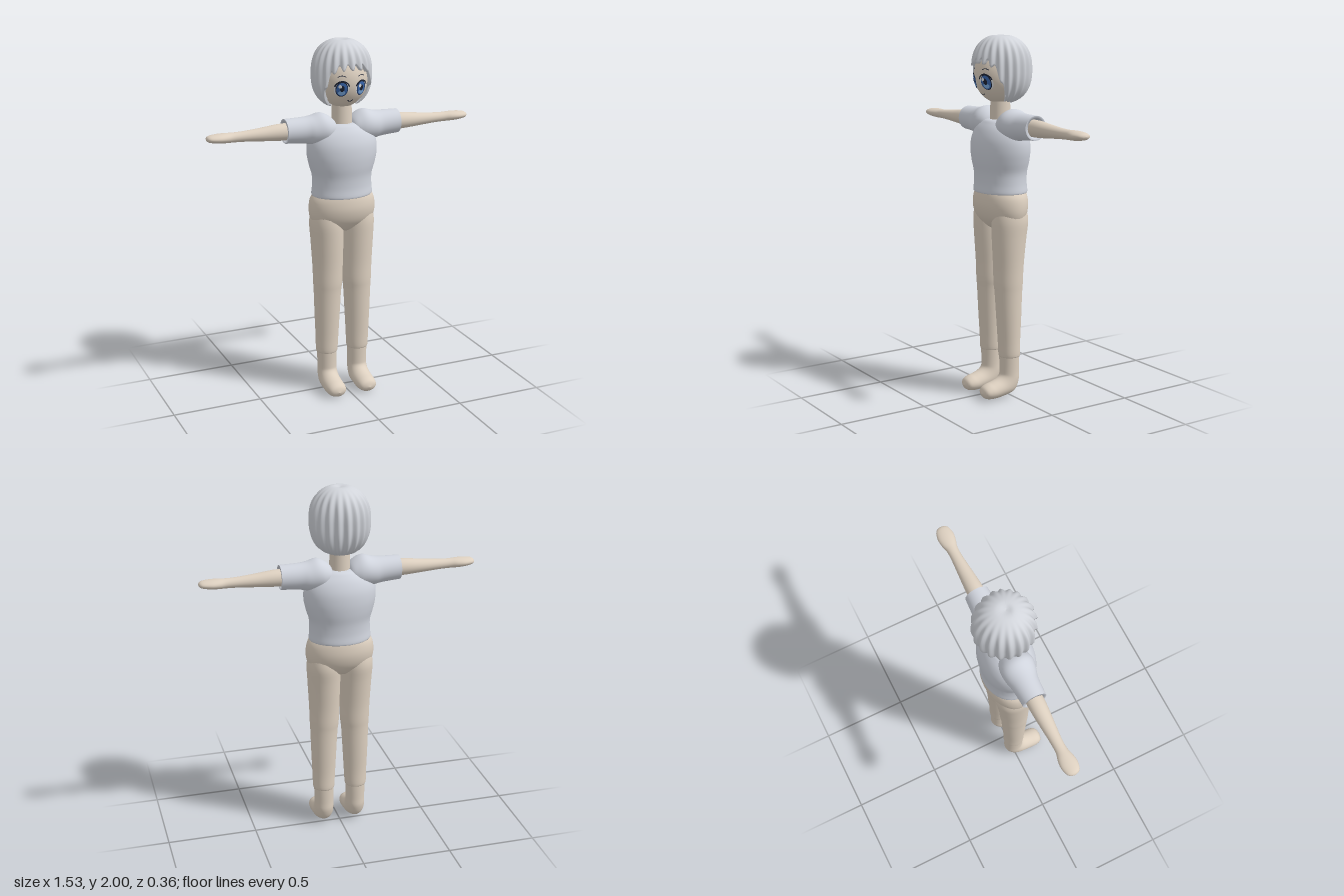
import * as THREE from 'three';

const material = (name, color, side = THREE.FrontSide) => {
  const m = new THREE.MeshStandardMaterial({ color, side });
  m.name = name;
  return m;
};

// Closed-around grid: rows of points joined into a smooth skin
function grid(rows, cols, point) {
  const pos = [], index = [];
  for (let i = 0; i <= rows; i++)
    for (let j = 0; j < cols; j++) pos.push(...point(i, j));
  for (let i = 0; i < rows; i++)
    for (let j = 0; j < cols; j++) {
      const a = i * cols + j, b = i * cols + (j + 1) % cols;
      index.push(a, b, a + cols, b, b + cols, a + cols);
    }
  const g = new THREE.BufferGeometry();
  g.setAttribute('position', new THREE.Float32BufferAttribute(pos, 3));
  g.setIndex(index);
  g.computeVertexNormals();
  return g;
}

// Loft through rings [centre xyz, u axis xyz, v axis xyz], smoothed by a spline
function loft(rings, sub = 4, cols = 36) {
  const last = rings.length - 1;
  const sample = (t) => {
    const i = Math.min(Math.floor(t), last - 1), f = t - i;
    const at = (k) => rings[THREE.MathUtils.clamp(k, 0, last)];
    return rings[0].map((_, c) => {
      const [p, q, r, s] = [at(i - 1)[c], at(i)[c], at(i + 1)[c], at(i + 2)[c]];
      return q + 0.5 * f * (r - p + f * (2 * p - 5 * q + 4 * r - s + f * (3 * (q - r) + s - p)));
    });
  };
  return grid(last * sub, cols, (i, j) => {
    const k = sample(i / sub), a = (j / cols) * Math.PI * 2;
    const c = Math.cos(a), s = Math.sin(a);
    return [0, 1, 2].map((n) => k[n] + k[n + 3] * c + k[n + 6] * s);
  });
}
// Upright rings [y, cx, cz, rx, rz] and sideways rings [x, cy, cz, ry, rz]
const upright = (list, s = 1) => list.map(([y, cx, cz, rx, rz]) => [cx * s, y, cz, rx, 0, 0, 0, 0, -rz]);
const sideways = (list, s) => list.map(([x, cy, cz, ry, rz]) => [x * s, cy, cz, 0, ry, 0, 0, 0, rz * s]);

// Head ellipsoid, also used to lay face details on its surface
const HEAD = { y: 1.79, z: 0.002, rx: 0.138, ry: 0.157, rz: 0.142 };
const faceZ = (x, y) =>
  HEAD.z + HEAD.rz * Math.sqrt(Math.max(0, 1 - (x / HEAD.rx) ** 2 - ((y - HEAD.y) / HEAD.ry) ** 2));

function facePatch(cx, cy, rx, ry, lift, inner = 0, start = 0, length = Math.PI * 2) {
  const g = new THREE.RingGeometry(inner, 1, 28, 5, start, length);
  const p = g.attributes.position;
  for (let i = 0; i < p.count; i++) {
    const x = cx + p.getX(i) * rx, y = cy + p.getY(i) * ry;
    p.setXYZ(i, x, y, faceZ(x, y) + lift);
  }
  g.computeVertexNormals();
  return g;
}

// Lower edge of the hair by angle from the front, in degrees
const HEM = [[0, 1.865], [25, 1.862], [40, 1.845], [50, 1.8], [58, 1.755], [65, 1.7], [72, 1.65], [180, 1.633]];
function hemHeight(deg) {
  const i = HEM.findIndex((h, k) => k > 0 && deg <= h[0] + 1e-6);
  const [a, b] = [HEM[i - 1], HEM[i]];
  return THREE.MathUtils.mapLinear(deg, a[0], b[0], a[1], b[1]);
}

// Rounded cap with scalloped locks, turned in at the hem
function hairGeometry() {
  const rows = 28, cols = 160, cy = 1.815, ry = 0.186, n = 2.4;
  return grid(rows + 1, cols, (i, j) => {
    let deg = -(j / cols) * 360;
    if (deg < -180) deg += 360;
    const a = THREE.MathUtils.degToRad(deg), lock = Math.cos(a * 20);
    const jag = Math.abs(deg) < 70 ? 0.016 : 0.004;
    const v = (hemHeight(Math.abs(deg)) - jag * lock - cy) / ry;
    const end = Math.acos(THREE.MathUtils.clamp(Math.sign(v) * Math.abs(v) ** (n / 2), -0.995, 1));
    const phi = end * Math.min(i / rows, 1), c = Math.cos(phi);
    let r = Math.max(Math.sin(phi), 1e-4) ** (2 / n);
    r *= 1 + 0.045 * lock * THREE.MathUtils.smoothstep(phi, 0.25, 1.2);
    if (i > rows) r *= 0.86;
    const y = cy + ry * Math.sign(c) * Math.abs(c) ** (2 / n) - 0.012 * Math.exp(-((phi / 0.12) ** 2));
    return [0.158 * r * Math.sin(a), y, (Math.cos(a) > 0 ? 0.148 : 0.17) * r * Math.cos(a)];
  });
}

export function createModel() {
  const model = new THREE.Group();
  model.name = 'figure';
  const skin = material('skin', 0xddd0c0);
  const shirt = material('shirt', 0xd0d4dd, THREE.DoubleSide);
  const hair = material('hair', 0xd1d4da, THREE.DoubleSide);
  const dark = material('dark line', 0x1c2233);
  const blue = material('iris blue', 0x3a68b0);
  const pale = material('iris pale blue', 0x7fb0e6);
  const white = material('eye white', 0xf4f6fa);
  const add = (name, geometry, mat) => {
    const m = new THREE.Mesh(geometry, mat);
    m.name = name;
    model.add(m);
    return m;
  };

  // Head, neck and hair
  const head = add('head', new THREE.SphereGeometry(1, 48, 32), skin);
  head.scale.set(HEAD.rx, HEAD.ry, HEAD.rz);
  head.position.set(0, HEAD.y, HEAD.z);
  const neck = add('neck', new THREE.CylinderGeometry(0.052, 0.058, 0.2, 32), skin);
  neck.position.set(0, 1.6, 0);
  add('hair', hairGeometry(), hair);

  // Shirt body
  add('shirtBody', loft(upright([
    [1.15, 0, 0, 0.16, 0.125], [1.153, 0, 0, 0.172, 0.137], [1.2, 0, 0, 0.168, 0.133],
    [1.26, 0, 0, 0.169, 0.135], [1.32, 0, 0, 0.186, 0.144], [1.38, 0, 0, 0.198, 0.147],
    [1.44, 0, 0, 0.196, 0.14], [1.49, 0, 0, 0.175, 0.12], [1.525, 0, 0, 0.13, 0.095],
    [1.545, 0, 0, 0.08, 0.068], [1.55, 0, 0, 0, 0],
  ])), shirt);

  // Hips
  add('hips', loft(upright([
    [1.17, 0, 0, 0.155, 0.12], [1.13, 0, 0, 0.181, 0.13], [1.08, 0, 0, 0.19, 0.133],
    [1.03, 0, 0, 0.186, 0.122], [0.99, 0, 0, 0.165, 0.1], [0.95, 0, 0, 0.09, 0.06], [0.93, 0, 0, 0, 0],
  ].reverse())), skin);

  for (const s of [1, -1]) {
    const side = s > 0 ? 'left' : 'right';

    // Sleeve with a turned-in cuff
    add(side + 'Sleeve', loft(sideways([
      [0.04, 1.52, 0, 0, 0], [0.052, 1.52, 0, 0.045, 0.062], [0.09, 1.52, 0, 0.077, 0.086],
      [0.13, 1.525, 0, 0.085, 0.092], [0.18, 1.52, -0.002, 0.078, 0.085],
      [0.23, 1.522, -0.004, 0.071, 0.073], [0.33, 1.525, -0.004, 0.066, 0.066],
    ], s)), shirt);
    add(side + 'Cuff', loft(sideways([
      [0.33, 1.525, -0.004, 0.066, 0.066], [0.33, 1.525, -0.004, 0.052, 0.052], [0.28, 1.525, -0.004, 0.05, 0.05],
    ], s), 1), shirt);

    // Arm and mitten hand
    add(side + 'Arm', loft(sideways([
      [0.26, 1.523, -0.003, 0.046, 0.046], [0.36, 1.523, -0.003, 0.045, 0.046], [0.46, 1.521, -0.004, 0.036, 0.039],
      [0.56, 1.52, -0.005, 0.028, 0.031], [0.62, 1.52, -0.005, 0.026, 0.031], [0.66, 1.521, -0.005, 0.026, 0.041],
      [0.7, 1.522, -0.004, 0.024, 0.046], [0.74, 1.523, -0.003, 0.019, 0.038],
      [0.758, 1.523, -0.003, 0.012, 0.023], [0.765, 1.523, -0.003, 0, 0],
    ], s)), skin);

    // Trouser leg
    add(side + 'Leg', loft(upright([
      [0.234, 0.093, 0.002, 0.052, 0.052], [0.236, 0.094, 0.002, 0.061, 0.06], [0.32, 0.093, 0.004, 0.065, 0.062],
      [0.45, 0.092, 0.005, 0.071, 0.069], [0.59, 0.09, 0.006, 0.077, 0.076], [0.65, 0.088, 0.006, 0.082, 0.081],
      [0.75, 0.088, 0.005, 0.085, 0.085], [0.9, 0.09, 0.002, 0.091, 0.097],
      [1.0, 0.092, -0.002, 0.093, 0.104], [1.08, 0.09, 0, 0.08, 0.09],
    ], s)), skin);

    // Foot bending forward from the ankle: [y, z, half width, v axis y, v axis z]
    add(side + 'Foot', loft([
      [0.24, 0.002, 0.057, 0, 0.056], [0.15, 0.002, 0.054, 0.004, 0.055], [0.105, 0.005, 0.055, 0.02, 0.056],
      [0.066, 0.033, 0.057, 0.04, 0.052], [0.049, 0.093, 0.057, 0.044, 0.028], [0.043, 0.14, 0.055, 0.042, 0.01],
      [0.04, 0.172, 0.041, 0.029, 0.003], [0.039, 0.186, 0, 0, 0],
    ].map(([y, z, w, vy, vz]) => [0.093 * s, y, z, w, 0, 0, 0, vy, vz])), skin);

    // Eye, lash and brow
    const x = 0.055 * s;
    add(side + 'EyeWhite', facePatch(x, 1.753, 0.036, 0.041, 0.002), white);
    add(side + 'EyeRim', facePatch(x, 1.753, 0.03, 0.041, 0.003), dark);
    add(side + 'Iris', facePatch(x, 1.752, 0.027, 0.037, 0.004), blue);
    add(side + 'IrisGlow', facePatch(x, 1.733, 0.017, 0.013, 0.005), pale);
    add(side + 'Pupil', facePatch(x, 1.756, 0.011, 0.017, 0.006), dark);
    add(side + 'Glint', facePatch(x - 0.011, 1.768, 0.008, 0.01, 0.007), white);
    add(side + 'Lash', facePatch(x, 1.753, 0.041, 0.046, 0.0065, 0.84, 0.35, Math.PI - 0.7), dark);
    add(side + 'Brow', facePatch(x, 1.79, 0.034, 0.036, 0.003, 0.91, 0.9, Math.PI - 1.8), dark);
  }

  // Mouth
  add('mouth', facePatch(0, 1.692, 0.016, 0.013, 0.003, 0.65, Math.PI + 0.2, Math.PI - 0.4), dark);
  return model;
}
